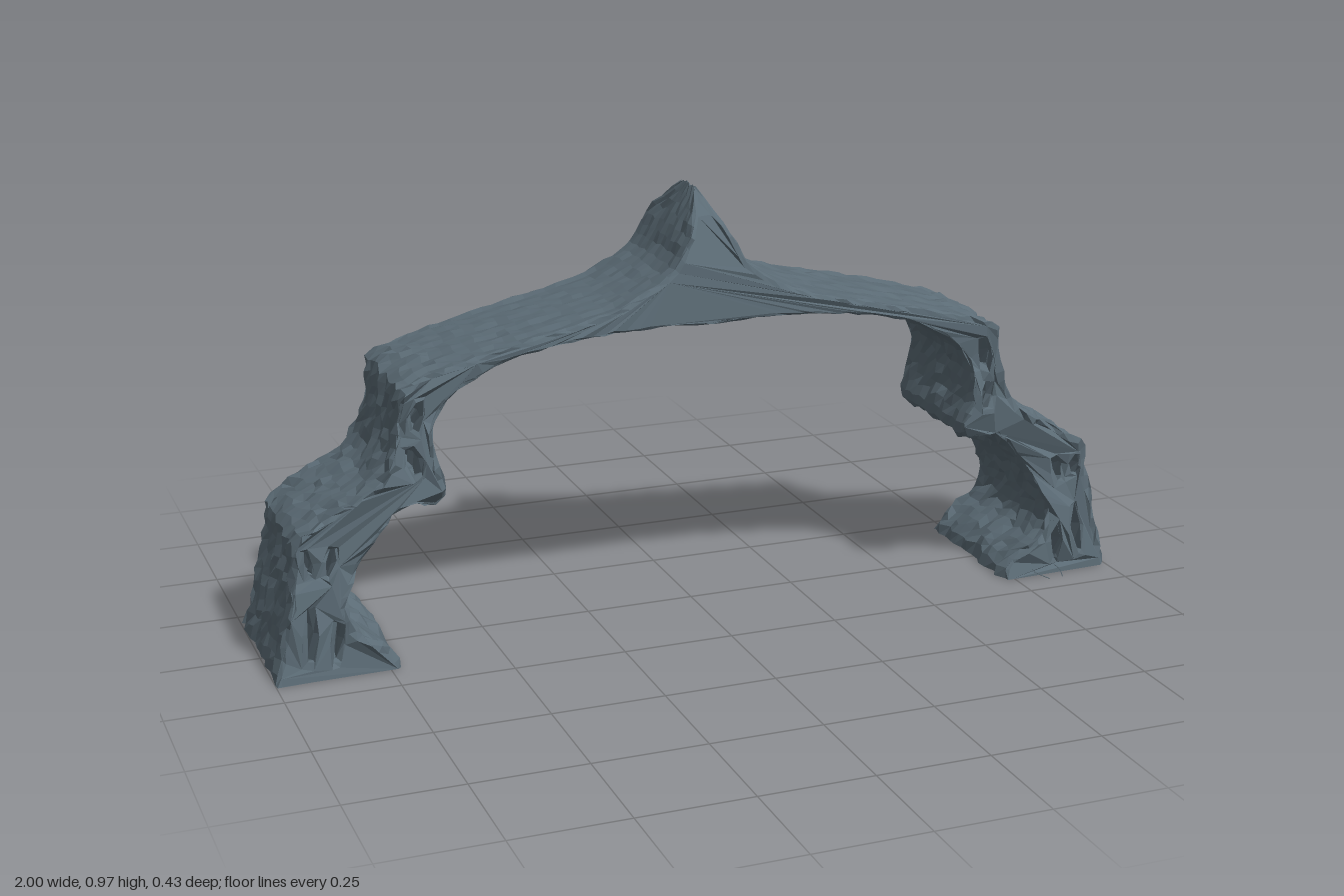
import * as THREE from 'three';

const CENTER_Z = -0.022;

// half depth of the arch at each height
const DEPTHS = [[0, 0.185], [0.1, 0.18], [0.3, 0.156], [0.36, 0.165], [0.4, 0.174], [0.46, 0.164],
  [0.57, 0.152], [0.7, 0.162], [0.8, 0.152], [0.89, 0.143], [0.965, 0.045]];
function halfDepth(y) {
  for (let i = 1; i < DEPTHS.length; i++) {
    const [y0, d0] = DEPTHS[i - 1], [y1, d1] = DEPTHS[i];
    if (y <= y1) return d0 + (d1 - d0) * Math.max(0, (y - y0) / (y1 - y0));
  }
  return 0.045;
}

// repeatable value from -1 to 1 for a position
function hash(x, y, z) {
  const r = (v) => Math.round(v * 2000);
  const s = Math.sin(r(x) * 12.9898 + r(y) * 78.233 + r(z) * 37.719) * 43758.5453;
  return (s - Math.floor(s)) * 2 - 1;
}

function smooth(points, count) {
  const curve = new THREE.SplineCurve(points.map(([x, y]) => new THREE.Vector2(x, y)));
  return curve.getSpacedPoints(count);
}

// front outline of one half: crest to foot outside, then foot to crown inside
function halfOutline() {
  const outer = smooth([[0, 0.968], [0.025, 0.92], [0.055, 0.865], [0.08, 0.82], [0.13, 0.78],
    [0.23, 0.735], [0.4, 0.695], [0.57, 0.655], [0.685, 0.618], [0.705, 0.585], [0.708, 0.53],
    [0.727, 0.46], [0.76, 0.41], [0.845, 0.36], [0.925, 0.312], [0.943, 0.285], [0.943, 0.24],
    [0.963, 0.15], [0.985, 0.05], [0.997, 0]], 62);
  const inner = smooth([[0.725, 0], [0.735, 0.03], [0.77, 0.06], [0.82, 0.095], [0.838, 0.15],
    [0.805, 0.235], [0.745, 0.315], [0.7, 0.357], [0.63, 0.35], [0.612, 0.385], [0.635, 0.455],
    [0.622, 0.545], [0.55, 0.61], [0.42, 0.66], [0.2, 0.687], [0, 0.685]], 56);
  return [...outer, ...inner];
}

// openings through the legs: x, y, width, height, tilt
const HOLES = [[0.668, 0.55, 0.026, 0.075, 0.15], [0.678, 0.45, 0.034, 0.07, -0.2],
  [0.868, 0.25, 0.026, 0.07, 0.3], [0.915, 0.255, 0.018, 0.05, -0.1],
  [0.862, 0.075, 0.022, 0.1, 0.1], [0.918, 0.1, 0.026, 0.13, 0.12]];

function archGeometry() {
  const half = halfOutline();
  const mirrored = half.slice(1, -1).reverse().map((p) => new THREE.Vector2(-p.x, p.y));
  const shape = new THREE.Shape([...half, ...mirrored]);
  for (const side of [1, -1]) {
    for (const [x, y, w, h, tilt] of HOLES) {
      const hole = new THREE.Path();
      hole.absellipse(side * x, y, w / 2, h / 2, 0, Math.PI * 2, false, side * tilt);
      shape.holes.push(new THREE.Path(hole.getPoints(3)
        .slice(0, -1)));
    }
  }
  const bevel = 0.06;
  const geo = new THREE.ExtrudeGeometry(shape, {
    depth: 2 - 2 * bevel, steps: 13, bevelEnabled: true, bevelThickness: bevel,
    bevelSize: 0.009, bevelOffset: -0.009, bevelSegments: 2,
  });
  geo.translate(0, 0, bevel - 1);

  // fit the depth to the height and roughen the surface like bark
  const pos = geo.attributes.position;
  const v = new THREE.Vector3();
  for (let i = 0; i < pos.count; i++) {
    v.fromBufferAttribute(pos, i);
    const { x, y, z } = v;
    const leg = Math.abs(x) > 0.62;
    const rough = leg ? 0.008 : 0.004;
    const grain = hash(0.3, 0.7, z) * 0.5;
    const nx = rough * (hash(x, y, z) * 0.7 + grain);
    const ny = rough * (hash(y, z, x) * 0.7 + grain);
    const ripple = leg ? 0.008 * Math.sin(x * 55 + y * 23) : 0;
    const depth = halfDepth(y) + ripple + (leg ? 0.007 : 0.003) * hash(z, x, y);
    const onGround = y < 0.012;
    pos.setXYZ(i, THREE.MathUtils.clamp(x + nx, -1, 1),
      onGround ? 0 : Math.max(0.004, y + ny), CENTER_Z + z * depth);
  }
  geo.computeVertexNormals();
  return geo;
}

export function createModel() {
  const group = new THREE.Group();
  group.name = 'rootArch';
  const bark = new THREE.MeshStandardMaterial({ color: 0x5b6b75, flatShading: true });
  bark.name = 'slate bark';

  const arch = new THREE.Mesh(archGeometry(), bark);
  arch.name = 'arch';
  group.add(arch);

  // fine stray rootlets at one foot
  for (const [x, bend] of [[0.81, -0.01], [0.86, 0.005]]) {
    const path = new THREE.CatmullRomCurve3([
      new THREE.Vector3(x, 0.016, 0.13),
      new THREE.Vector3(x + bend, 0.012, 0.175),
      new THREE.Vector3(x - bend, 0.006, 0.21),
    ]);
    const rootlet = new THREE.Mesh(new THREE.TubeGeometry(path, 6, 0.0012, 4), bark);
    rootlet.name = 'rootlet';
    group.add(rootlet);
  }
  return group;
}
